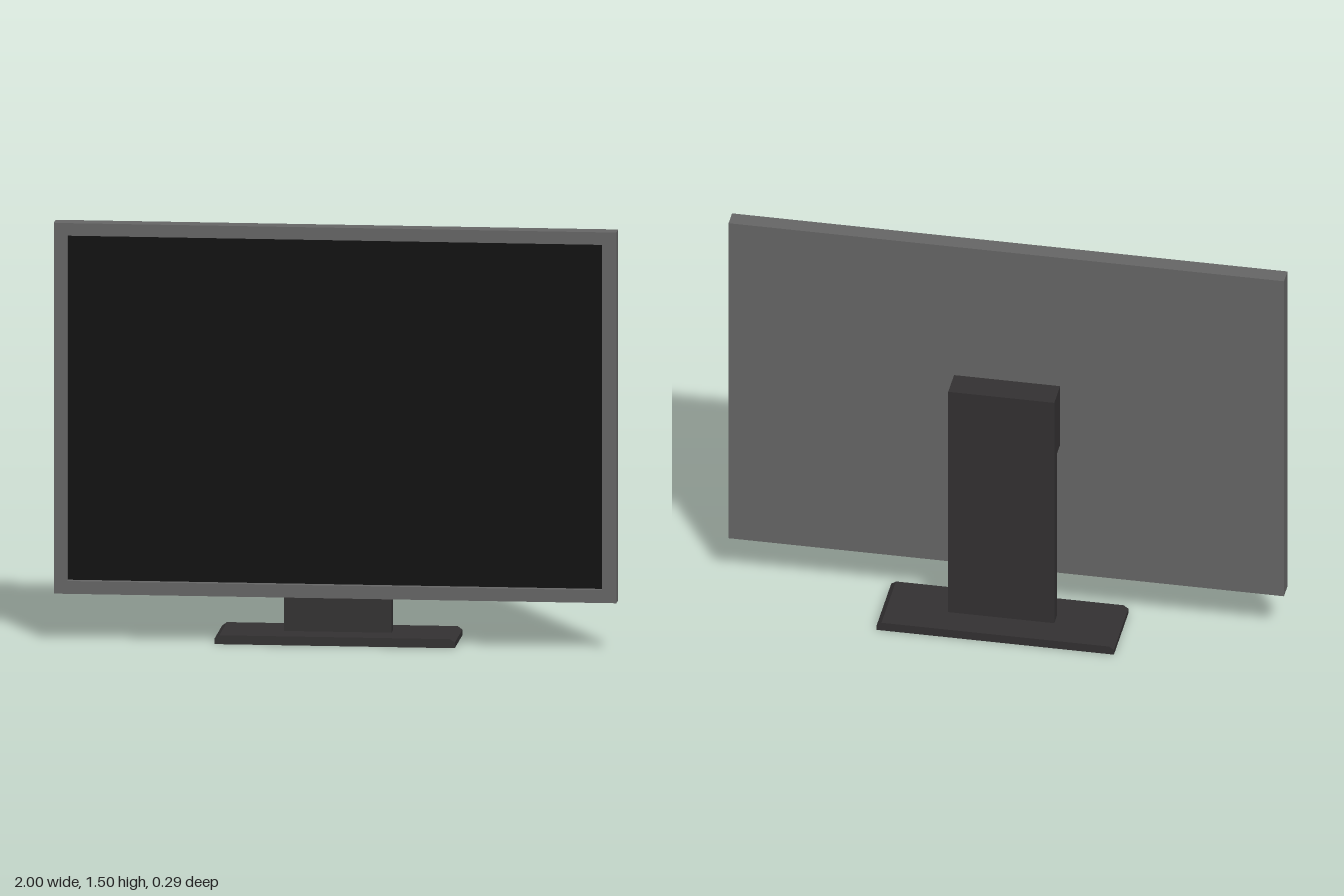
import * as THREE from 'three';

const casingMat = new THREE.MeshStandardMaterial({ color: 0x666666 });
const standMat = new THREE.MeshStandardMaterial({ color: 0x333132 });
const screenMat = new THREE.MeshStandardMaterial({ color: 0x0d0d0d });

// Closed outline from [x, y] corners, counter-clockwise
const outline = (pts, Type = THREE.Shape) => new Type(pts.map(([x, y]) => new THREE.Vector2(x, y)));
const rect = (x0, y0, x1, y1) => [[x0, y0], [x1, y0], [x1, y1], [x0, y1]];
const extrude = (shape, depth) => new THREE.ExtrudeGeometry(shape, { depth, bevelEnabled: false });

export function createModel() {
  const model = new THREE.Group();
  model.name = 'monitor';

  const add = (name, geometry, material) => {
    const mesh = new THREE.Mesh(geometry, material);
    mesh.name = name;
    model.add(mesh);
  };

  const back = 0.08, panel = 0.115, front = 0.145; // z layers of the display
  const outer = rect(-1, 0.174, 1, 1.505);
  const opening = rect(-0.953, 0.22, 0.949, 1.46);

  // Display: solid rear casing, raised bezel, recessed screen
  add('rearCasing', extrude(outline(outer), panel - back).translate(0, 0, back), casingMat);
  const bezel = outline(outer);
  bezel.holes.push(outline(opening, THREE.Path));
  add('bezel', extrude(bezel, front - panel).translate(0, 0, panel), casingMat);
  add('screen', extrude(outline(opening), 0.002).translate(0, 0, panel), screenMat);

  // Neck: side profile (z, y) with the mounting block at the top
  const neckWidth = 0.382, standX = -0.003;
  const neck = outline([
    [-0.03, 0.03], [0.018, 0.03], [0.018, 0.716], [back, 0.716], [back, 0.963], [-0.03, 0.963],
  ]);
  add('neck', extrude(neck, neckWidth).rotateY(-Math.PI / 2).translate(standX + neckWidth / 2, 0, 0), standMat);

  // Base: front profile with chamfered upper ends
  const w = 0.427;
  const base = outline([
    [-w, 0], [w, 0], [w, 0.02], [w - 0.017, 0.032], [-w + 0.017, 0.032], [-w, 0.02],
  ]);
  add('base', extrude(base, 0.272).translate(standX, 0, -0.142), standMat);

  return model;
}
